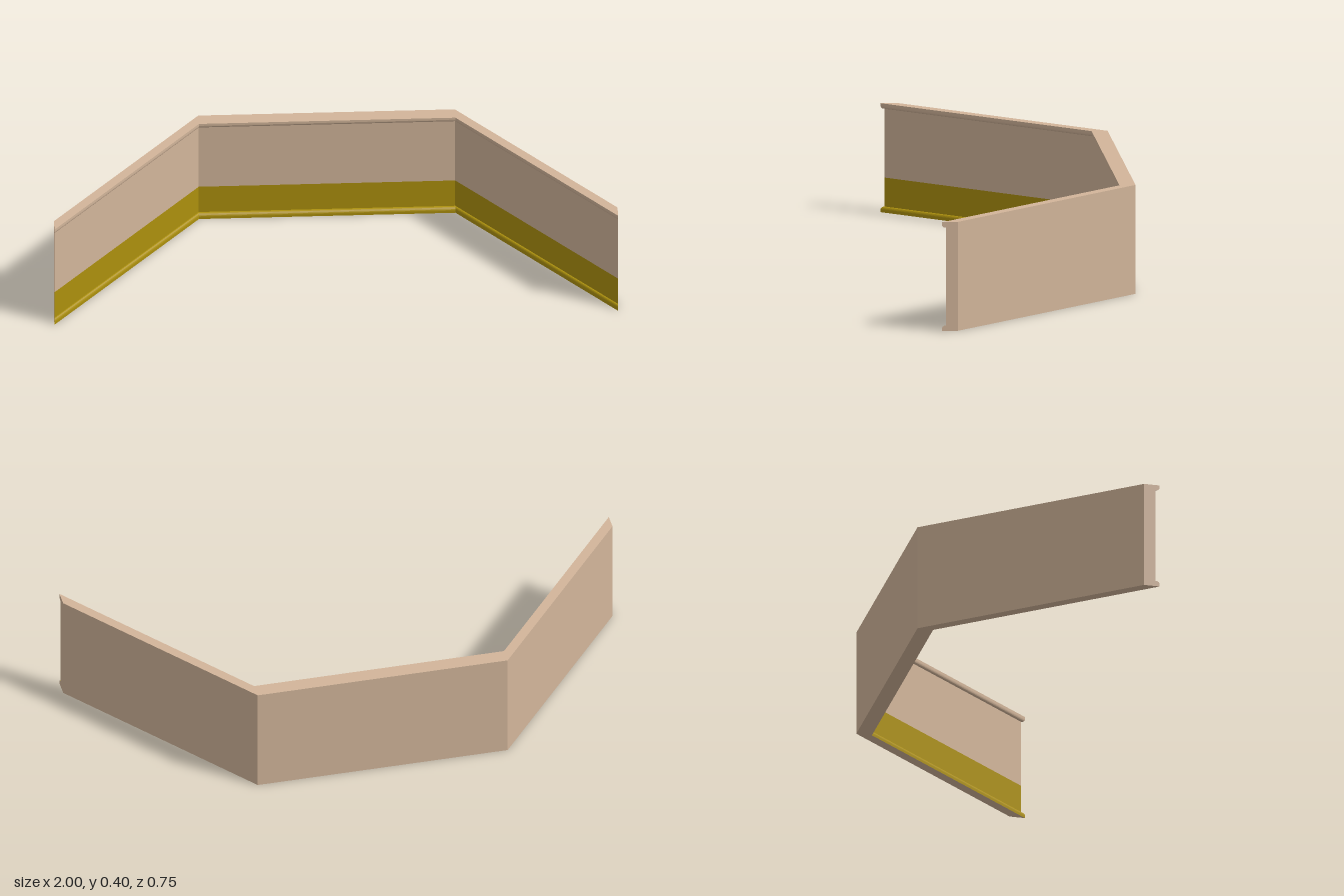
import * as THREE from 'three';

// Plan of the back face: [x, z]
const PATH = [[-1, 0.318], [-0.455, -0.375], [0.455, -0.375], [1, 0.318]];
const HEIGHT = 0.395, WALL = 0.042, LIP = 0.057, RADIUS = 0.012, LIP_HEIGHT = 0.02, BAND = 0.125;

// Rounded lip edge as [depth, y], from the outer face in to the wall
function lipArc() {
  const points = [];
  for (let i = 0; i <= 6; i++) {
    const a = (i / 6) * Math.PI / 2;
    points.push([LIP - RADIUS + RADIUS * Math.cos(a), LIP_HEIGHT - RADIUS + RADIUS * Math.sin(a)]);
  }
  return points;
}

// Sweeps a [depth, y] profile along the plan, with flat faces
function sweep(profile) {
  const positions = [];
  const corner = ([x, z], [d, y]) => [x, y, z + d];
  for (let i = 0; i < PATH.length - 1; i++) {
    for (let j = 0; j < profile.length - 1; j++) {
      const a = corner(PATH[i], profile[j]), b = corner(PATH[i + 1], profile[j]);
      const c = corner(PATH[i + 1], profile[j + 1]), d = corner(PATH[i], profile[j + 1]);
      positions.push(...a, ...b, ...c, ...a, ...c, ...d);
    }
  }
  const geometry = new THREE.BufferGeometry();
  geometry.setAttribute('position', new THREE.Float32BufferAttribute(positions, 3));
  geometry.computeVertexNormals();
  return geometry;
}

export function createModel() {
  const group = new THREE.Group();
  group.name = 'angledWallPanel';
  const tan = new THREE.MeshStandardMaterial({ color: 0xd2b59a });
  tan.name = 'tan';
  const mustard = new THREE.MeshStandardMaterial({ color: 0xac900d });
  mustard.name = 'mustard';
  const add = (name, geometry, material) => {
    const mesh = new THREE.Mesh(geometry, material);
    mesh.name = name;
    group.add(mesh);
    return mesh;
  };

  const lower = [[LIP, 0], ...lipArc(), [WALL, LIP_HEIGHT], [WALL, BAND]];
  const upper = [[WALL, BAND], [WALL, HEIGHT - LIP_HEIGHT],
    ...lipArc().reverse().map(([d, y]) => [d, HEIGHT - y]), [LIP, HEIGHT]];
  const shell = [[LIP, HEIGHT], [0, HEIGHT], [0, 0], [LIP, 0]];

  // Inner face with its lips, then top, back and underside
  add('lowerBand', sweep(lower), mustard);
  add('upperInnerFace', sweep(upper), tan);
  add('outerShell', sweep(shell), tan);

  // End caps
  const section = [...lower, ...upper.slice(1), [0, HEIGHT], [0, 0]];
  for (const side of [-1, 1]) {
    const shape = new THREE.Shape(section.map(([d, y]) => new THREE.Vector2(-side * d, y)));
    const cap = add(side > 0 ? 'leftEndCap' : 'rightEndCap', new THREE.ShapeGeometry(shape), tan);
    cap.rotation.y = side * Math.PI / 2;
    cap.position.set(side, 0, PATH[0][1]);
  }
  return group;
}
